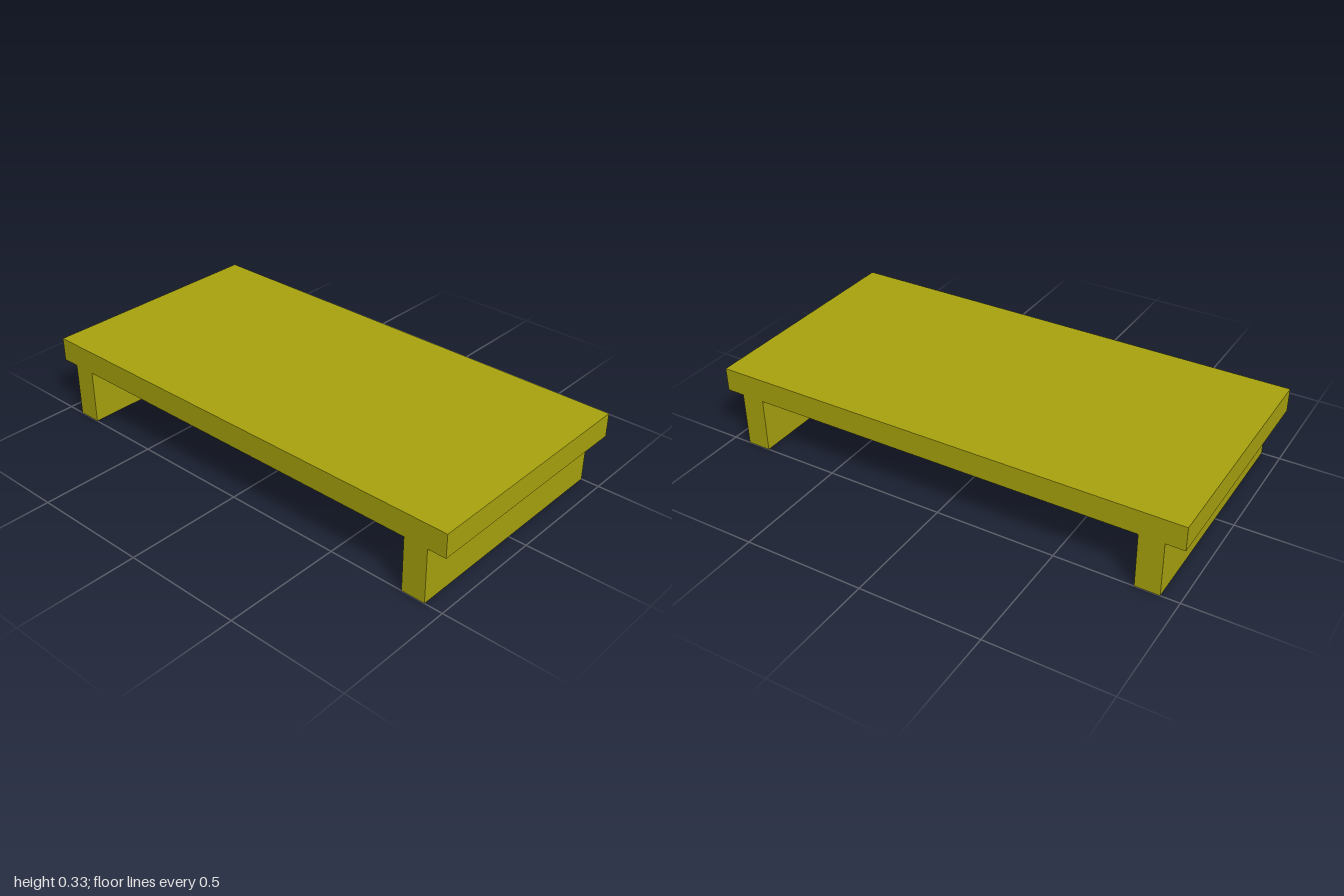
import * as THREE from 'three';

export function createModel() {
  const group = new THREE.Group();
  const olive = new THREE.MeshStandardMaterial({ color: 0xa8a30e });
  olive.name = 'olive';

  const WIDTH = 1, LENGTH = 2, THICK = 0.1, LEG_HEIGHT = 0.232, LEG_Z = 0.874;

  // One single-colour board; y is its underside
  const addBoard = (name, height, depth, y, z) => {
    const mesh = new THREE.Mesh(new THREE.BoxGeometry(WIDTH, height, depth), olive);
    mesh.name = name;
    mesh.position.set(0, y + height / 2, z);
    group.add(mesh);
  };

  // Flat top slab
  addBoard('tableTop', THICK, LENGTH, LEG_HEIGHT, 0);

  // Full-width panel legs, set in from each end
  for (const [name, side] of [['frontLeg', 1], ['backLeg', -1]]) {
    addBoard(name, LEG_HEIGHT, THICK, 0, side * LEG_Z);
  }

  return group;
}
